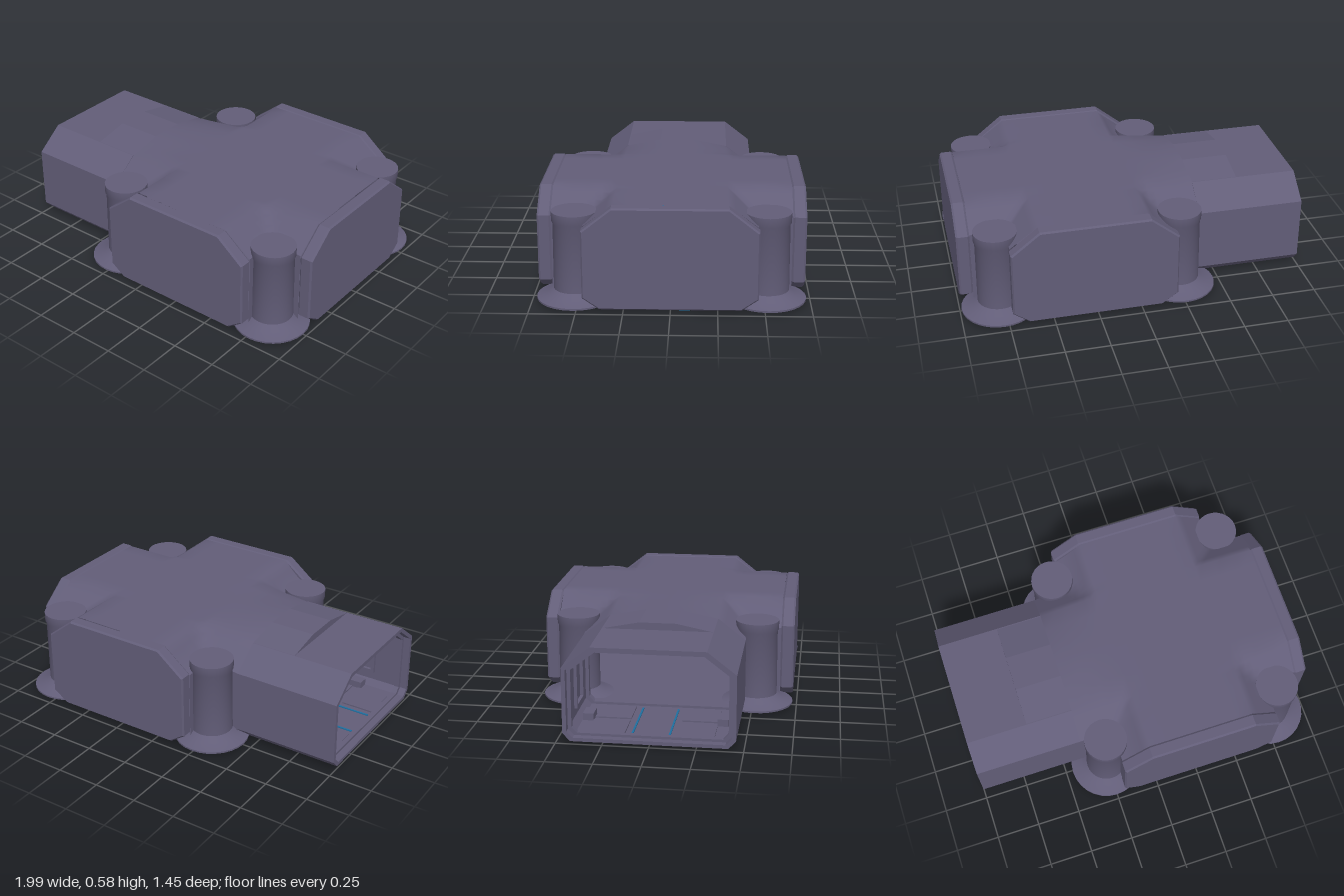
import * as THREE from 'three';
import { toCreasedNormals } from 'three/addons/utils/BufferGeometryUtils.js';

const hull = new THREE.MeshStandardMaterial({ color: 0x625d78, side: THREE.DoubleSide });
hull.name = 'hull';
const blue = new THREE.MeshStandardMaterial({ color: 0x1f6f9f });
blue.name = 'blueLight';

const CX = 0.265;   // centre of the chamber along x
const ARM = 0.46;   // half width of each arm
const END = 0.65;   // where the arms meet the end panels
const clamp = THREE.MathUtils.clamp;

function add(parent, name, geometry, material = hull, x = 0, y = 0, z = 0) {
  const mesh = new THREE.Mesh(geometry, material);
  mesh.name = name;
  mesh.position.set(x, y, z);
  parent.add(mesh);
  return mesh;
}
const box = (parent, name, w, h, d, x, y, z, mat) =>
  add(parent, name, new THREE.BoxGeometry(w, h, d), mat, x, y, z);

// Mirror half of an outline (listed bottom to top) into a closed list of points
const mirrored = half => [...half, ...half.map(([x, y]) => [-x, y]).reverse()]
  .map(p => new THREE.Vector2(...p));

// Extrude an outline drawn in (z, y) towards -x, starting at x0
function alongX(points, hole, length, x0) {
  const shape = new THREE.Shape(points);
  if (hole) shape.holes.push(new THREE.Path(hole));
  return new THREE.ExtrudeGeometry(shape, { depth: length, bevelEnabled: false })
    .rotateY(-Math.PI / 2).translate(x0, 0, 0);
}

// Vaulted roof height; blends to the corridor profile on the -x side
function roofHeight(x, z) {
  const m = Math.min(Math.abs(x), Math.abs(z));
  const vault = 0.58 - 0.12 * clamp((m - 0.3) / 0.16, 0, 1);
  const v = Math.abs(z);
  const tunnel = 0.58 - 0.04 * clamp((v - 0.1) / 0.2, 0, 1) - 0.12 * clamp((v - 0.3) / 0.16, 0, 1);
  const t = clamp((-x - 0.3) / 0.35, 0, 1);
  return vault + (tunnel - vault) * t;
}

// Cross-shaped roof made from a grid with the four corners left out
function roofGeometry() {
  const half = [0.1, 0.2, 0.3, 0.34, 0.38, 0.42, ARM, 0.55, END];
  const g = [...half.map(v => -v).reverse(), 0, ...half];
  const n = g.length, pos = [], idx = [];
  for (const z of g) for (const x of g) pos.push(x, roofHeight(x, z), z);
  for (let j = 0; j < n - 1; j++) for (let i = 0; i < n - 1; i++) {
    const mx = Math.abs(g[i] + g[i + 1]) / 2, mz = Math.abs(g[j] + g[j + 1]) / 2;
    if (mx > ARM && mz > ARM) continue;
    const a = j * n + i, b = a + 1, c = a + n, d = c + 1;
    idx.push(a, c, b, b, c, d);
  }
  const geo = new THREE.BufferGeometry();
  geo.setAttribute('position', new THREE.Float32BufferAttribute(pos, 3));
  geo.setIndex(idx);
  geo.computeVertexNormals();
  return geo;
}

// Upright wall between two floor points, cut off at the roof
function wallGeometry(p, q) {
  const y = 0.02, a = [p[0], y, p[1]], b = [q[0], y, q[1]];
  const c = [q[0], roofHeight(...q), q[1]], d = [p[0], roofHeight(...p), p[1]];
  const geo = new THREE.BufferGeometry();
  geo.setAttribute('position', new THREE.Float32BufferAttribute([a, b, c, a, c, d].flat(), 3));
  geo.computeVertexNormals();
  return geo;
}

export function createModel() {
  const model = new THREE.Group();
  model.name = 'habitatModule';
  const chamber = new THREE.Group();
  chamber.name = 'chamber';
  chamber.position.x = CX;
  model.add(chamber);

  add(chamber, 'roof', roofGeometry());

  // Floor plate and round base
  const quarter = [[ARM, -END], [ARM, -ARM], [END, -ARM], [END, ARM], [ARM, ARM], [ARM, END]];
  const floor = new THREE.ExtrudeGeometry(new THREE.Shape(mirrored(quarter)),
    { depth: 0.012, bevelEnabled: false }).rotateX(Math.PI / 2);
  add(chamber, 'floorPlate', floor, hull, 0, 0.03, 0);
  add(chamber, 'baseDisc', new THREE.CylinderGeometry(0.405, 0.405, 0.018, 48), hull, 0, 0.009, 0);

  // Corner walls and round pillars on flared feet
  const profile = [[0, 0.016], [0.21, 0.016], [0.21, 0.026], [0.15, 0.045], [0.118, 0.072],
    [0.115, 0.44], [0.122, 0.455], [0.122, 0.505], [0, 0.505]].map(p => new THREE.Vector2(...p));
  const pillar = toCreasedNormals(new THREE.LatheGeometry(profile, 28), 0.5);
  for (const sx of [-1, 1]) for (const sz of [-1, 1]) {
    const corner = [sx * ARM, sz * ARM], alongZ = [sx * ARM, sz * END], alongXEnd = [sx * END, sz * ARM];
    const flip = sx * sz > 0;
    add(chamber, 'cornerWall', flip ? wallGeometry(alongZ, corner) : wallGeometry(corner, alongZ));
    add(chamber, 'cornerWall', flip ? wallGeometry(corner, alongXEnd) : wallGeometry(alongXEnd, corner));
    add(chamber, 'cornerPillar', pillar, hull, sx * 0.517, 0, sz * 0.517);
  }

  // Octagonal end panels on three arms, each with a light strip below
  const panelShape = new THREE.Shape(mirrored([[0.375, 0.022], [ARM + 0.005, 0.085], [ARM + 0.005, 0.455], [0.305, 0.582]]));
  const panel = new THREE.ExtrudeGeometry(panelShape, {
    depth: 0.055, bevelEnabled: true, bevelSize: 0.008, bevelOffset: -0.008, bevelThickness: 0.01, bevelSegments: 1,
  }).translate(0, 0, END + 0.01);
  for (const angle of [0, Math.PI / 2, Math.PI]) {
    const arm = new THREE.Group();
    arm.name = 'armEnd';
    arm.rotation.y = angle;
    chamber.add(arm);
    add(arm, 'endPanel', panel);
    box(arm, 'lightStrip', 0.21, 0.009, 0.012, 0, 0.0175, 0.69, blue);
  }

  // Open corridor with a hollow octagonal section
  const outer = mirrored([[0.42, 0.016], [0.46, 0.06], [0.46, 0.42], [0.305, 0.54]]);
  const inner = mirrored([[0.405, 0.036], [0.438, 0.07], [0.438, 0.41], [0.297, 0.518]]);
  const rib = mirrored([[0.39, 0.05], [0.418, 0.08], [0.418, 0.4], [0.288, 0.5]]);
  add(model, 'corridorShell', alongX(outer, inner, 0.615, -0.385));
  for (const x of [-0.93, -0.45]) add(model, 'corridorRib', alongX(inner, rib, 0.03, x));

  // Raised roof section joining corridor and chamber
  const crown = mirrored([[0.3, 0.532], [0.3, 0.54], [0.1, 0.58]]);
  add(model, 'roofCrown', alongX(crown, null, 0.27, -0.38));

  // Corridor fittings: floor plates, floor light, wall frames and boxes
  for (const s of [-1, 1]) {
    for (const x of [-0.83, -0.6]) box(model, 'floorPanel', 0.19, 0.008, 0.2, x, 0.04, s * 0.24);
    box(model, 'floorLight', 0.4, 0.006, 0.01, -0.72, 0.039, s * 0.1, blue);
    box(model, 'storageBox', 0.1, 0.04, 0.06, -0.7, 0.06, s * 0.37);
    for (const dx of [-0.08, 0.08]) box(model, 'wallFramePost', 0.02, 0.26, 0.02, -0.7 + dx, 0.25, s * 0.43);
    for (const dy of [-0.12, 0.12]) box(model, 'wallFrameBar', 0.16, 0.02, 0.02, -0.7, 0.25 + dy, s * 0.43);
  }
  return model;
}
